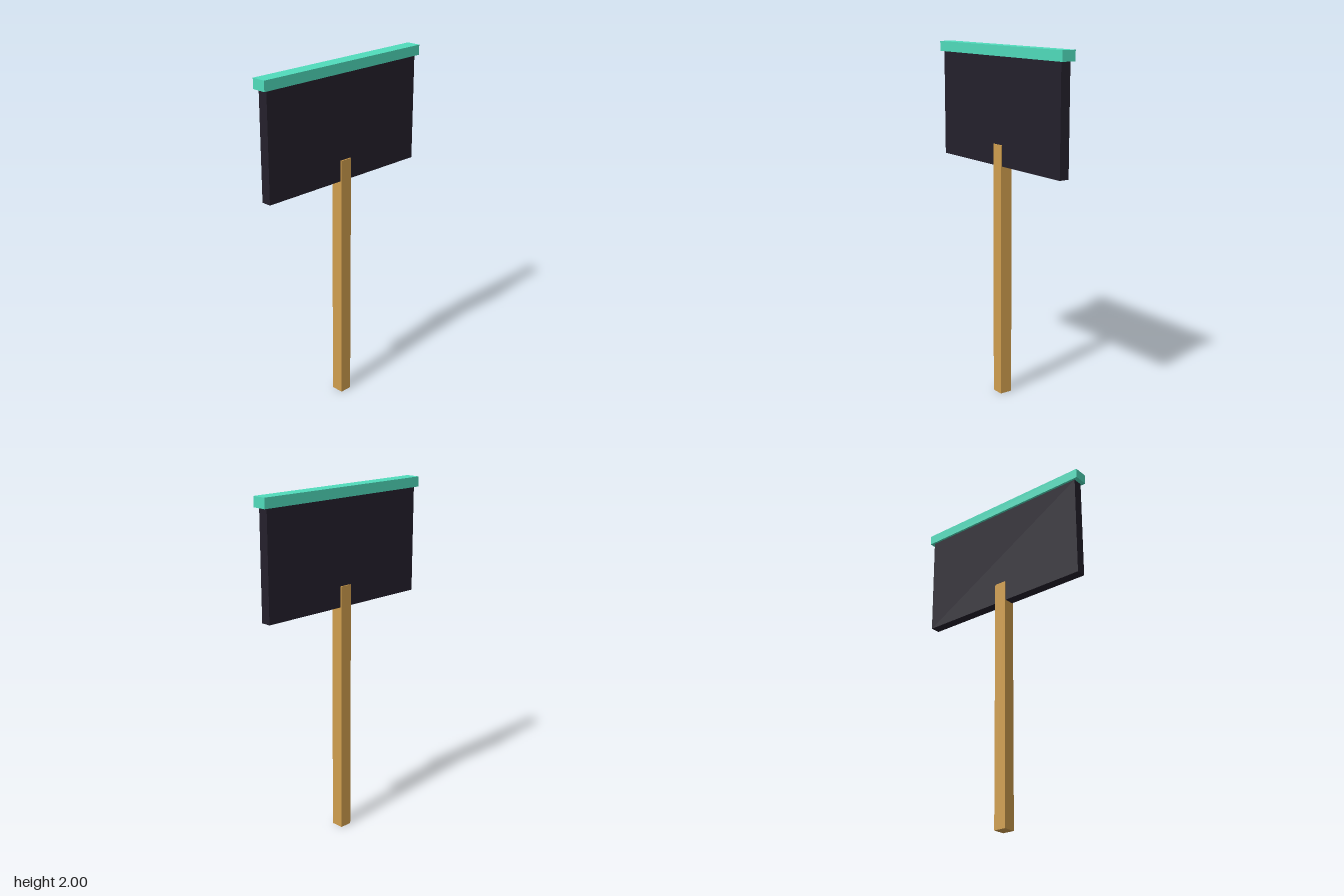
import * as THREE from 'three';

// Box spanning yMin..yMax, centred on x and z
function slab(name, width, yMin, yMax, depth, color) {
  const mesh = new THREE.Mesh(
    new THREE.BoxGeometry(width, yMax - yMin, depth),
    new THREE.MeshStandardMaterial({ color })
  );
  mesh.name = name;
  mesh.position.y = (yMin + yMax) / 2;
  return mesh;
}

export function createModel() {
  const sign = new THREE.Group();
  sign.name = 'signpost';
  sign.add(
    // square wooden post, its top overlapping the board on both faces
    slab('post', 0.073, 0, 1.46, 0.073, 0xd09e4e),
    // dark sign panel
    slab('board', 1.094, 1.341, 1.943, 0.058, 0x24202c),
    // coloured rail along the top edge, overhanging the board
    slab('topRail', 1.142, 1.943, 2, 0.084, 0x50dcbc)
  );
  return sign;
}
